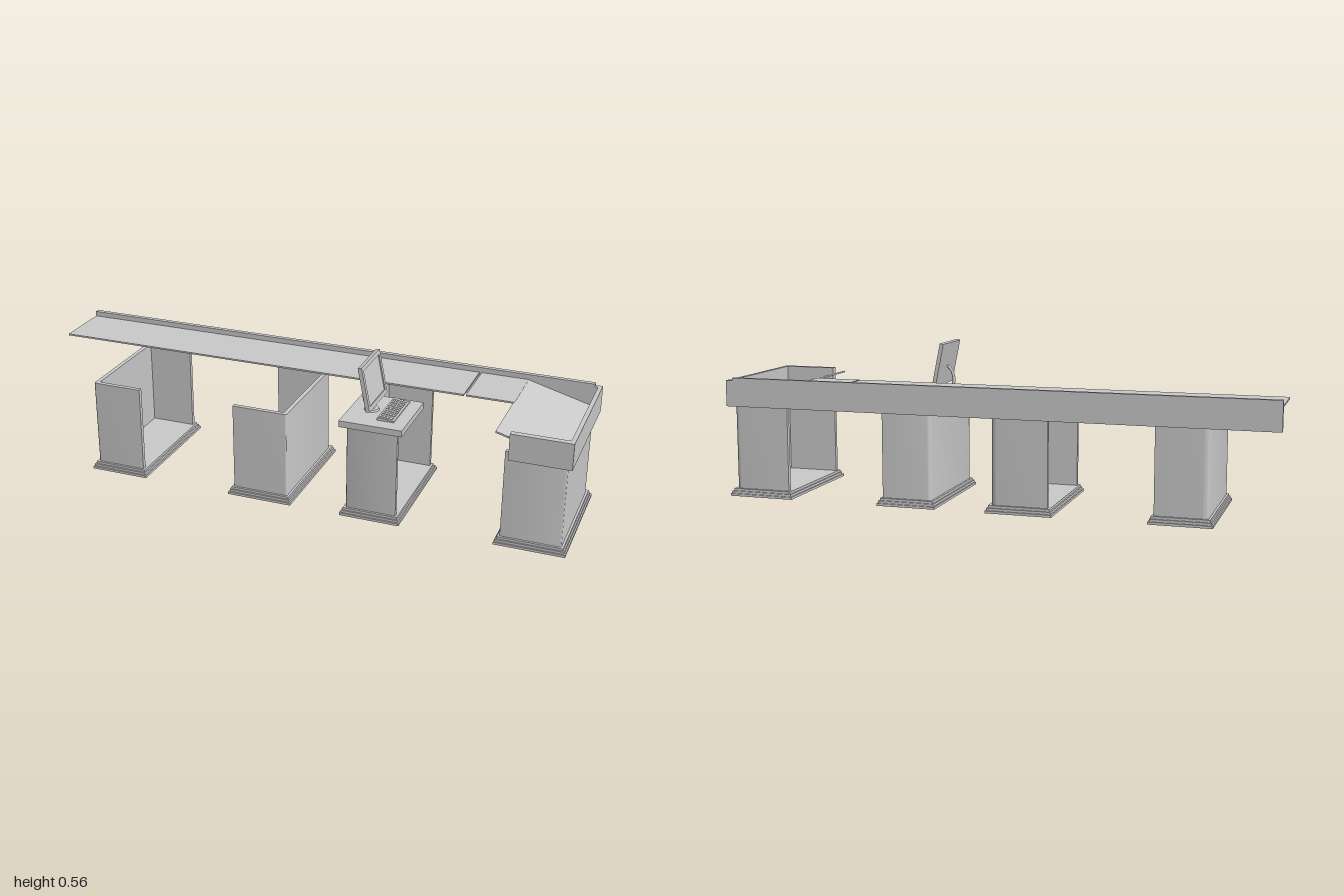
import * as THREE from 'three';
import { toCreasedNormals } from 'three/addons/utils/BufferGeometryUtils.js';

const material = new THREE.MeshStandardMaterial({ color: 0xcccccc, side: THREE.DoubleSide });

function add(parent, name, geometry) {
  const mesh = new THREE.Mesh(geometry, material);
  mesh.name = name;
  parent.add(mesh);
  return mesh;
}

// Box given by its minimum and maximum on each axis
function box(parent, name, [x0, x1], [y0, y1], [z0, z1]) {
  const mesh = add(parent, name, new THREE.BoxGeometry(x1 - x0, y1 - y0, z1 - z0));
  mesh.position.set((x0 + x1) / 2, (y0 + y1) / 2, (z0 + z1) / 2);
  return mesh;
}

const BACK = -0.223, FRONT = 0.207;

// C-shaped cabinet on a stepped plinth; closed is the x sign of its solid side
function pedestal(parent, x0, x1, closed, top) {
  const group = new THREE.Group();
  group.name = 'pedestal';
  parent.add(group);

  for (let i = 0; i < 3; i++) {
    const out = 0.018 - i * 0.005;
    box(group, 'plinthStep', [x0 - out, x1 + out], [i * 0.009, (i + 1) * 0.009], [BACK - out, FRONT + out]);
  }

  const wall = 0.016, rBack = 0.02, rFront = 0.007;
  const solid = closed > 0 ? x1 : x0;
  const open = closed > 0 ? x0 : x1;
  const s = -closed;
  const shape = new THREE.Shape();
  shape.moveTo(open, -FRONT);
  shape.lineTo(solid + s * rFront, -FRONT);
  shape.quadraticCurveTo(solid, -FRONT, solid, -FRONT + rFront);
  shape.lineTo(solid, -BACK - rBack);
  shape.quadraticCurveTo(solid, -BACK, solid + s * rBack, -BACK);
  shape.lineTo(open, -BACK);
  shape.lineTo(open, -BACK - wall);
  shape.lineTo(solid + s * wall, -BACK - wall);
  shape.lineTo(solid + s * wall, -FRONT + wall);
  shape.lineTo(open, -FRONT + wall);
  shape.closePath();
  let geometry = new THREE.ExtrudeGeometry(shape, { depth: top - 0.027, bevelEnabled: false, curveSegments: 6 });
  geometry.rotateX(-Math.PI / 2).translate(0, 0.027, 0);
  geometry = toCreasedNormals(geometry, 0.6);
  add(group, 'cabinetWalls', geometry);
}

// Extrude an x/y profile along z between z0 and z1
function alongZ(parent, name, points, z0, z1) {
  const shape = new THREE.Shape(points.map(([x, y]) => new THREE.Vector2(x, y)));
  const geometry = new THREE.ExtrudeGeometry(shape, { depth: z1 - z0, bevelEnabled: false });
  return add(parent, name, geometry.translate(0, 0, z0));
}

export function createModel() {
  const model = new THREE.Group();
  model.name = 'receptionCounter';

  // Four cabinets, open sides facing each other in pairs
  pedestal(model, -0.765, -0.58, -1, 0.345);
  pedestal(model, -0.21, -0.005, 1, 0.345);
  pedestal(model, 0.217, 0.4, -1, 0.35);
  pedestal(model, 0.77, 0.98, 1, 0.345);

  // Long counter: back fascia with raised lip, and thin tops with a small gap
  box(model, 'backFascia', [-1, 0.975], [0.335, 0.44], [-0.247, -0.23]);
  box(model, 'backFasciaEnd', [0.975, 1], [0.335, 0.43], [-0.247, -0.23]);
  box(model, 'counterTop', [-1, 0.563], [0.415, 0.421], [-0.23, -0.02]);
  box(model, 'flapTop', [0.571, 0.742], [0.415, 0.421], [-0.23, -0.02]);

  // Return wing: side and front fascias around a sloping top
  box(model, 'sideFascia', [0.985, 1], [0.335, 0.43], [-0.23, 0.248]);
  box(model, 'frontFascia', [0.79, 0.985], [0.335, 0.43], [0.226, 0.248]);
  alongZ(model, 'slopingTop', [[0.738, 0.415], [0.99, 0.346], [0.99, 0.352], [0.738, 0.421]], -0.23, 0.226);

  // Workstation slab
  box(model, 'deskSlab', [0.2, 0.425], [0.35, 0.373], [-0.008, 0.242]);

  // Tilted monitor facing +x, with a raised frame
  const monitor = new THREE.Group();
  monitor.name = 'monitor';
  monitor.position.set(0.276, 0.481, 0.111);
  monitor.rotation.z = 0.2;
  model.add(monitor);
  box(monitor, 'screenPanel', [-0.007, 0.003], [-0.08, 0.08], [-0.094, 0.094]);
  const frame = new THREE.Shape();
  frame.moveTo(-0.094, -0.08).lineTo(0.094, -0.08).lineTo(0.094, 0.08).lineTo(-0.094, 0.08);
  const hole = new THREE.Path();
  hole.moveTo(-0.079, -0.065).lineTo(-0.079, 0.065).lineTo(0.079, 0.065).lineTo(0.079, -0.065);
  frame.holes.push(hole);
  const frameGeometry = new THREE.ExtrudeGeometry(frame, { depth: 0.004, bevelEnabled: false });
  add(monitor, 'screenFrame', frameGeometry.rotateY(Math.PI / 2).translate(0.003, 0, 0));

  // Curved stand and round foot
  const curve = new THREE.CatmullRomCurve3([
    [0.27, 0.47], [0.253, 0.45], [0.246, 0.415], [0.255, 0.39], [0.285, 0.377],
  ].map(([x, y]) => new THREE.Vector3(x, y, 0.111)));
  add(model, 'monitorStand', new THREE.TubeGeometry(curve, 16, 0.006, 8));
  const foot = add(model, 'monitorFoot', new THREE.CylinderGeometry(0.024, 0.027, 0.006, 24));
  foot.position.set(0.275, 0.376, 0.111);

  // Wedge keyboard with rows of keys
  const keyboard = new THREE.Group();
  keyboard.name = 'keyboard';
  model.add(keyboard);
  alongZ(keyboard, 'keyboardBody', [[0.318, 0.373], [0.38, 0.373], [0.38, 0.377], [0.322, 0.385]], 0.012, 0.19);
  for (let row = 0; row < 4; row++) {
    for (let col = 0; col < 12; col++) {
      const key = add(keyboard, 'key', new THREE.BoxGeometry(0.009, 0.003, 0.01));
      key.position.set(0.331 + row * 0.0125, 0.3842 - row * 0.00172, 0.024 + col * 0.014);
      key.rotation.z = -0.137;
    }
  }

  return model;
}
